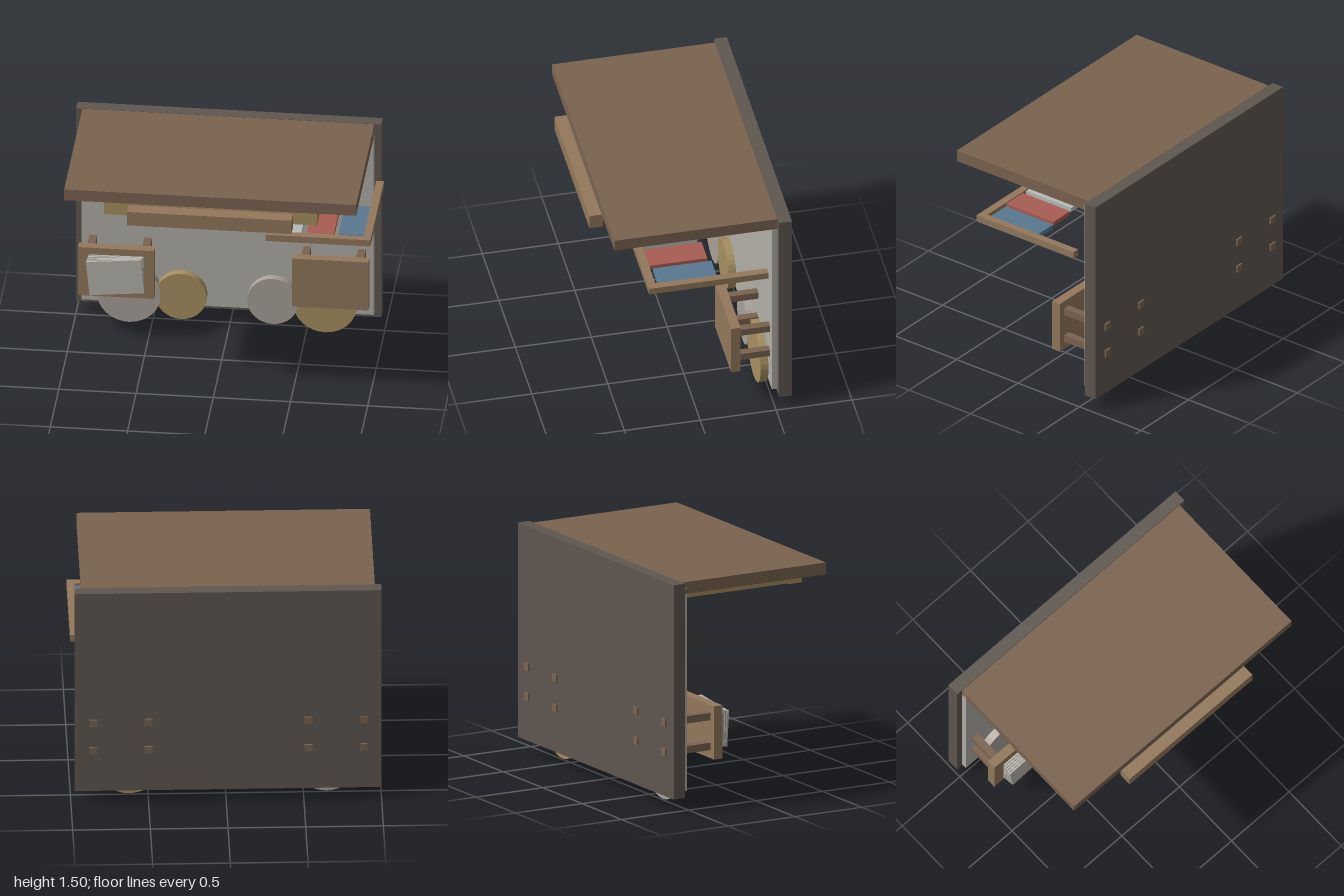
import * as THREE from 'three';

const mat = (color) => new THREE.MeshStandardMaterial({ color, flatShading: true });
const M = {
  board: mat(0x5f574f), panel: mat(0xb0aea6), roof: mat(0x7a6350), wood: mat(0x92785b),
  straw: mat(0xa68f60), stone: mat(0xa8a097), paper: mat(0xb4b2aa),
  red: mat(0xa95d54), blue: mat(0x587890), white: mat(0xb8bab8),
};

// Box given by its extents on each axis
function slab(parent, name, m, [x0, x1], [y0, y1], [z0, z1]) {
  const mesh = new THREE.Mesh(new THREE.BoxGeometry(x1 - x0, y1 - y0, z1 - z0), m);
  mesh.position.set((x0 + x1) / 2, (y0 + y1) / 2, (z0 + z1) / 2);
  mesh.name = name;
  parent.add(mesh);
  return mesh;
}

function group(parent, name) {
  const g = new THREE.Group();
  g.name = name;
  parent.add(g);
  return g;
}

export function createModel() {
  const root = new THREE.Group();
  root.name = 'stall';

  // Back board, inset panel and roof slab
  slab(root, 'backBoard', M.board, [-1, 0.975], [0.085, 1.505], [-0.61, -0.525]);
  slab(root, 'insetPanel', M.panel, [-0.96, 0.93], [0.12, 1.47], [-0.525, -0.487]);
  slab(root, 'roof', M.roof, [-0.96, 0.93], [1.425, 1.504], [-0.523, 0.55]);

  // Beams under the roof and the bar in front of them
  const beams = group(root, 'roofBeams');
  slab(beams, 'frontBeam', M.straw, [-0.705, 0.675], [1.322, 1.425], [0.425, 0.52]);
  slab(beams, 'leftBeam', M.straw, [0.585, 0.675], [1.328, 1.425], [-0.36, 0.425]);
  slab(beams, 'rightBeam', M.straw, [-0.705, -0.615], [1.328, 1.425], [-0.36, 0.425]);
  slab(root, 'frontBar', M.wood, [-0.545, 0.52], [1.307, 1.405], [0.535, 0.625]);

  // Open shelf frame holding three flat books
  const shelf = group(root, 'shelf');
  const shelfY = [1.085, 1.13];
  slab(shelf, 'outerRail', M.wood, [0.95, 1], shelfY, [-0.45, 0.337]);
  slab(shelf, 'innerRail', M.wood, [0.32, 0.37], shelfY, [-0.45, 0.285]);
  slab(shelf, 'frontRail', M.wood, [0.32, 0.95], shelfY, [0.285, 0.337]);
  [[M.blue, 0.785, 0.955, -0.12], [M.red, 0.58, 0.755, -0.1], [M.white, 0.375, 0.545, -0.08]]
    .forEach(([m, x0, x1, z0]) => slab(shelf, 'book', m, [x0, x1], [1.093, 1.122], [z0, z0 + 0.385]));

  // Two tables lying on their backs, legs running through the board
  for (const [name, x0, legs] of [['rightTable', -0.955, [-0.885, -0.53]], ['leftTable', 0.432, [0.5, 0.855]]]) {
    const table = group(root, name);
    slab(table, 'tableTop', M.wood, [x0, x0 + 0.493], [0.3, 0.653], [-0.282, -0.22]);
    for (const x of legs) {
      for (const y of [0.378, 0.576]) {
        slab(table, 'tableLeg', M.roof, [x - 0.025, x + 0.025], [y - 0.024, y + 0.024], [-0.622, -0.282]);
      }
    }
  }

  // Stack of sheets, each turned a little further
  const stack = group(root, 'paperStack');
  for (let i = 0; i < 5; i++) {
    const z = -0.21 + i * 0.0155;
    const sheet = slab(stack, 'sheet', M.paper, [-0.884, -0.528], [0.368, 0.611], [z, z + 0.013]);
    sheet.rotation.z = 0.01 + i * 0.022;
  }

  // Round discs along the bottom
  const discs = group(root, 'discs');
  [[-0.65, 0.207, M.stone, 0], [-0.312, 0.166, M.straw, 0.001], [0.282, 0.166, M.stone, 0], [0.62, 0.207, M.straw, 0.001]]
    .forEach(([x, r, m, back]) => {
      const disc = new THREE.Mesh(new THREE.CylinderGeometry(r, r, 0.052, 32), m);
      disc.rotation.x = Math.PI / 2;
      disc.position.set(x, 0.209, -0.46 - back);
      disc.name = 'disc';
      discs.add(disc);
    });

  return root;
}
